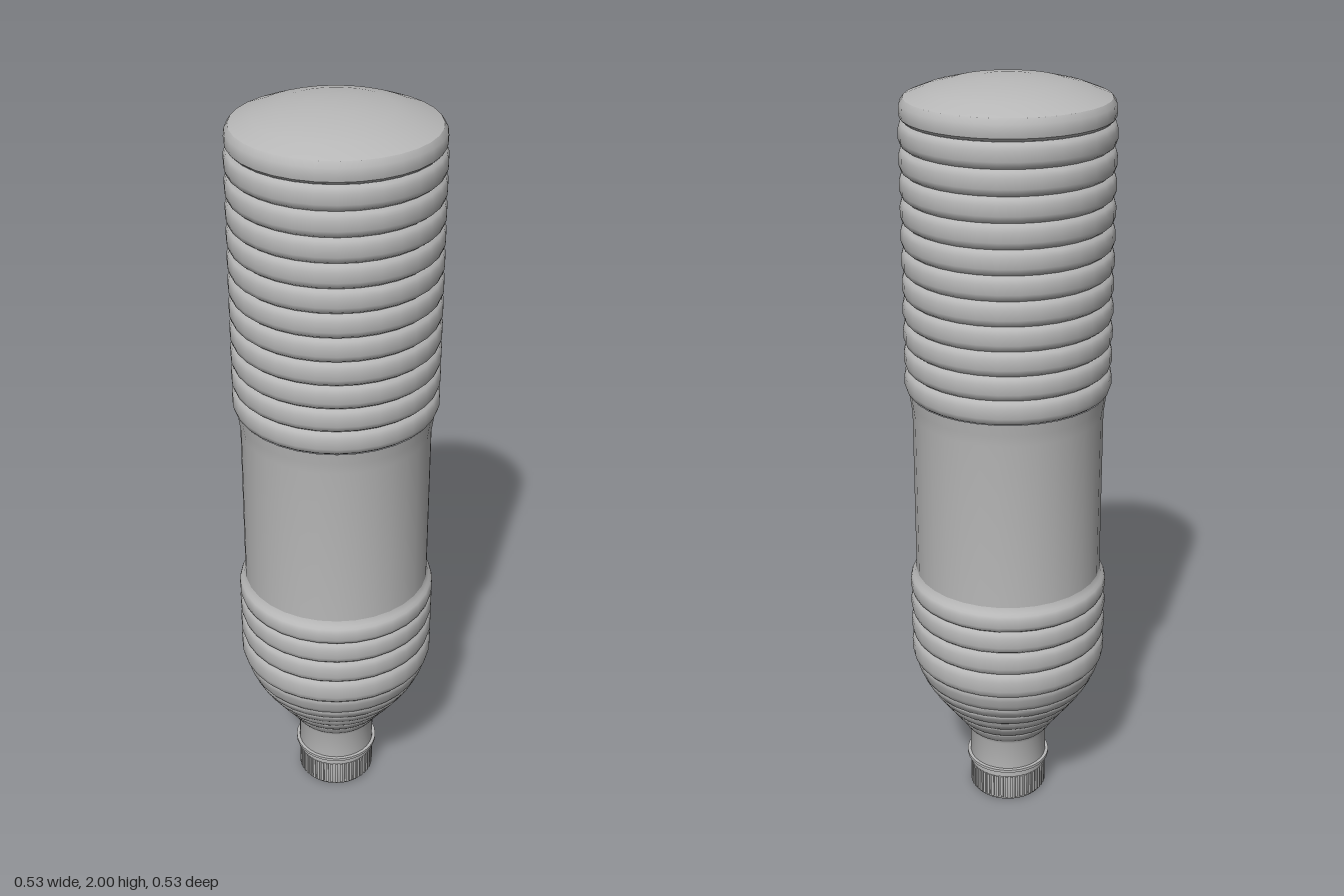
import * as THREE from 'three';
import { mergeGeometries, toCreasedNormals } from 'three/addons/utils/BufferGeometryUtils.js';

const SIDES = 32;

export function createModel() {
  const bottle = new THREE.Group();
  bottle.name = 'upturnedBottle';
  const grey = new THREE.MeshStandardMaterial({ color: 0xb8b8b8 });
  grey.name = 'plainGrey';

  const add = (name, geometry) => {
    const mesh = new THREE.Mesh(geometry, grey);
    mesh.name = name;
    bottle.add(mesh);
  };
  // Profiles run from bottom to top as [radius, height]
  const lathe = (profile) => toCreasedNormals(
    new THREE.LatheGeometry(profile.map(([r, y]) => new THREE.Vector2(r, y)), SIDES), 0.6);

  // One rounded rib between two heights, with a groove at each end
  const rib = (y0, y1, r0, r1, bulge) => [0, 0.1, 0.3, 0.7, 0.9, 1].map((t, i) => [
    r0 + (r1 - r0) * t + bulge * [0, 0.65, 1, 1, 0.65, 0][i], y0 + (y1 - y0) * t]);
  const ribs = (levels, bulge) => levels.slice(1).flatMap(([r, y], i) =>
    rib(levels[i][1], y, levels[i][0], r, bulge).slice(i ? 1 : 0));

  // Neck and ribbed shoulder
  add('neck', lathe([[0.105, 0.09], [0.105, 0.19], [0.109, 0.2]]));
  add('shoulder', lathe(ribs([[0.109, 0.2], [0.132, 0.235], [0.162, 0.275], [0.19, 0.312],
    [0.214, 0.347], [0.234, 0.383], [0.252, 0.435]], 0.004)));

  // Wide ribs below the grip
  add('lowerRibs', lathe([...ribs([[0.252, 0.435], [0.252, 0.505], [0.252, 0.57],
    [0.252, 0.632], [0.252, 0.685]], 0.01), [0.246, 0.7]]));

  // Smooth grip
  add('grip', lathe([[0.246, 0.7], [0.246, 1.15], [0.25, 1.18], [0.254, 1.21]]));

  // Evenly spaced ribs on the upper body
  const levels = Array.from({ length: 12 }, (_, i) => [0.252, 1.21 + i * 0.0627]);
  add('upperRibs', lathe(ribs(levels, 0.012)));

  // Rounded rim and domed base
  add('baseRim', lathe([[0.252, 1.9], [0.26, 1.908], [0.262, 1.92], [0.26, 1.94], [0.251, 1.953]]));
  add('baseDome', lathe([[0.251, 1.953], [0.2, 1.973], [0.14, 1.988], [0.07, 1.997], [0, 2]]));

  // Collar and screw cap
  add('collar', lathe([[0.1, 0.1], [0.114, 0.1], [0.114, 0.108], [0.104, 0.108]]));
  add('cap', lathe([[0, 0], [0.097, 0], [0.101, 0.006], [0.101, 0.078],
    [0.105, 0.08], [0.105, 0.098], [0.1, 0.1]]));

  // Grip ridges around the cap
  const ridges = [];
  const count = 48;
  for (let i = 0; i < count; i++) {
    ridges.push(new THREE.BoxGeometry(0.007, 0.068, 0.008)
      .translate(0, 0.044, 0.101)
      .rotateY((i / count) * Math.PI * 2));
  }
  add('capRidges', mergeGeometries(ridges));

  return bottle;
}
